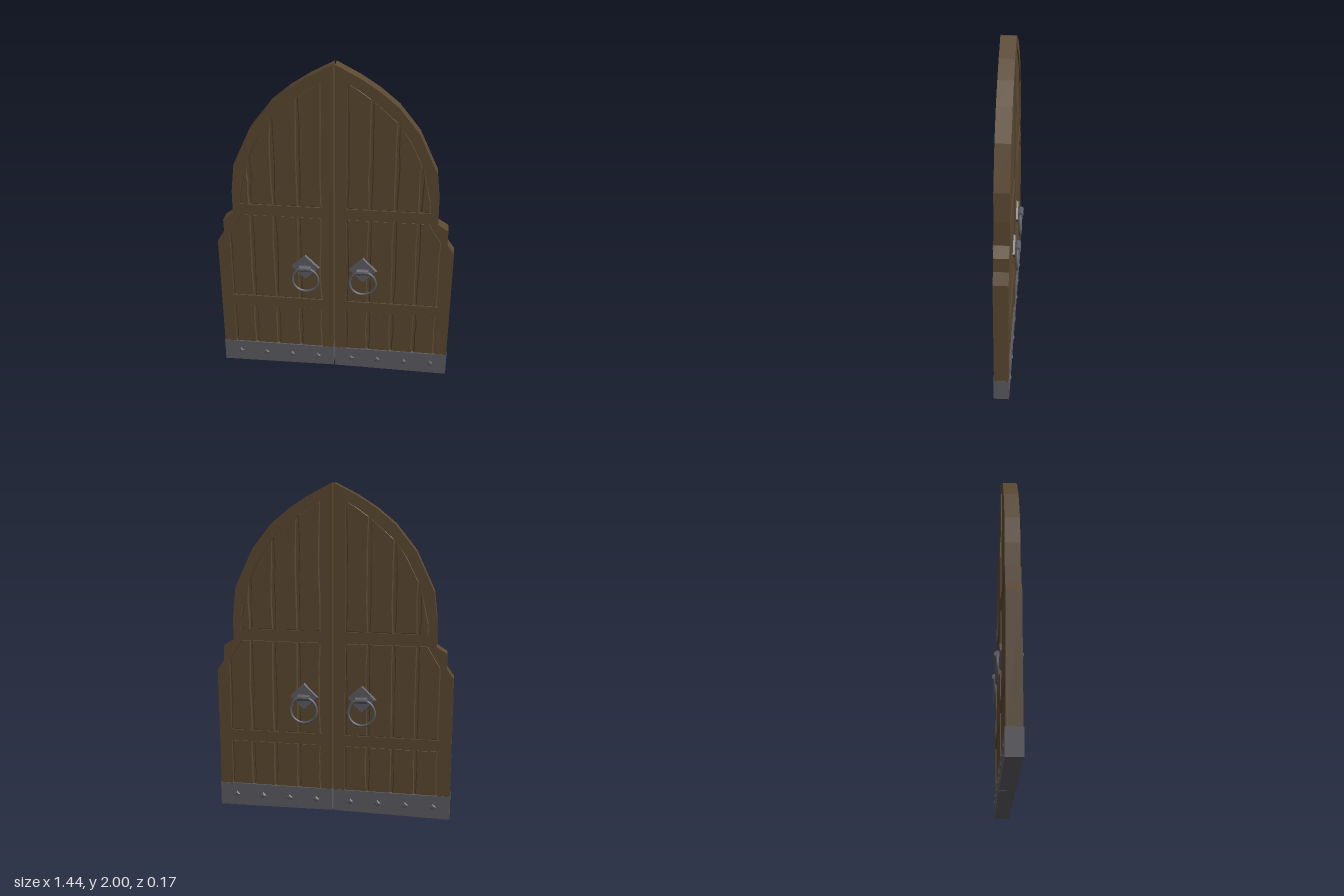
import * as THREE from 'three';

const wood = new THREE.MeshStandardMaterial({ color: 0x5a4830, flatShading: true });
const iron = new THREE.MeshStandardMaterial({ color: 0x5c5c62, flatShading: true });
const ironSmooth = new THREE.MeshStandardMaterial({ color: 0x5c5c62 });

// half outlines for the leaf on +x; the other leaf mirrors them
const leafOutline = [[0.005, 0.1], [0.715, 0.1], [0.715, 0.88], [0.672, 0.94], [0.672, 1.03], [0.61, 1.07],
  [0.608, 1.22], [0.588, 1.39], [0.48, 1.62], [0.36, 1.77], [0.25, 1.86], [0.14, 1.93], [0.005, 2]];
const panels = [
  { bottom: 0.14, top: [[0.072, 0.43], [0.64, 0.43]] },
  { bottom: 0.5, top: [[0.072, 1.07], [0.56, 1.07], [0.6, 1.0], [0.64, 0.94]] },
  { bottom: 1.14, top: [[0.072, 1.9], [0.14, 1.86], [0.21, 1.81], [0.36, 1.68], [0.43, 1.58], [0.5, 1.44], [0.55, 1.29], [0.565, 1.14]] },
];
const seams = [0.072, 0.212, 0.36, 0.502, 0.64];

let seed = 7;
const rand = () => (seed = (seed * 16807) % 2147483647) / 2147483647;

function add(parent, name, geometry, material, x = 0, y = 0, z = 0) {
  const mesh = new THREE.Mesh(geometry, material);
  mesh.name = name;
  mesh.position.set(x, y, z);
  parent.add(mesh);
  return mesh;
}

const toPoints = (pts, side) => pts.map(([x, y]) => new THREE.Vector2(x * side, y));

// height of a panel's upper edge at x
function topAt(top, x) {
  for (let i = 1; i < top.length; i++) {
    const [x0, y0] = top[i - 1], [x1, y1] = top[i];
    if (x <= x1) return y0 + (y1 - y0) * Math.max(0, (x - x0) / (x1 - x0));
  }
  return top[top.length - 1][1];
}

function panelOutline({ bottom, top }) {
  const last = top[top.length - 1];
  const pts = [[top[0][0], bottom], ...top];
  if (last[1] > bottom + 0.001) pts.push([last[0], bottom]);
  return pts;
}

// frame with open panels, closed by a thin core board
function addLeaf(parent, side) {
  const shape = new THREE.Shape(toPoints(leafOutline, side));
  for (const p of panels) shape.holes.push(new THREE.Path(toPoints(panelOutline(p), side)));
  add(parent, 'frame', new THREE.ExtrudeGeometry(shape, { depth: 0.086, bevelEnabled: false }), wood, 0, 0, -0.043);
  for (const p of panels) {
    const board = new THREE.Shape(toPoints(panelOutline(p), side));
    add(parent, 'panelCore', new THREE.ExtrudeGeometry(board, { depth: 0.05, bevelEnabled: false }), wood, 0, 0, -0.025);
  }
  // iron kick band, its underside sloping slightly up to the middle
  const band = new THREE.Shape(toPoints([[0.004, 0.01], [0.718, 0], [0.718, 0.146], [0.004, 0.146]], side));
  add(parent, 'kickBand', new THREE.ExtrudeGeometry(band, { depth: 0.092, bevelEnabled: false }), iron, 0, 0, -0.046);
}

// worn planks with bevelled, uneven edges
function addPlanks(parent, side) {
  for (const { bottom, top } of panels) {
    const right = top[top.length - 1][0];
    for (let i = 0; i < 4; i++) {
      const a = seams[i] + 0.006, b = Math.min(seams[i + 1], right) - 0.006;
      const pts = [[a, bottom], [b, bottom]];
      const endB = topAt(top, b), endA = topAt(top, a);
      for (const t of [0.3, 0.45, 0.75]) {
        const y = bottom + (endB - bottom) * t;
        if (endB - bottom > 0.1) pts.push([b - rand() * 0.008, y]);
      }
      pts.push([b, endB]);
      for (const [x, y] of [...top].reverse()) if (x > a + 0.01 && x < b - 0.01) pts.push([x, y]);
      pts.push([a, endA]);
      for (const t of [0.7, 0.5, 0.25]) pts.push([a + rand() * 0.008, bottom + (endA - bottom) * t]);
      const geo = new THREE.ExtrudeGeometry(new THREE.Shape(toPoints(pts, side)), {
        depth: 0.004, bevelThickness: 0.007, bevelSize: 0.006, bevelOffset: -0.004, bevelSegments: 1 });
      add(parent, 'plank', geo, wood, 0, 0, 0.0265);
    }
  }
}

function addRivets(parent, side) {
  for (let i = 0; i < 4; i++) {
    const geo = new THREE.CylinderGeometry(0.011, 0.023, 0.008, 4).rotateX(Math.PI / 2);
    add(parent, 'rivet', geo, iron, side * (0.107 + i * 0.169), 0.075, 0.049);
  }
}

// diamond plate, hinge barrel and hanging ring
function addHandle(parent, side) {
  const handle = new THREE.Group();
  handle.name = 'ringHandle';
  handle.position.set(side * 0.176, 0.732, 0);
  const plate = new THREE.CylinderGeometry(0.08, 0.088, 0.012, 4).rotateX(Math.PI / 2);
  add(handle, 'plate', plate, iron, 0, 0, 0.046);
  add(handle, 'barrelMount', new THREE.BoxGeometry(0.05, 0.03, 0.025), iron, 0, 0, 0.053);
  add(handle, 'barrel', new THREE.CylinderGeometry(0.019, 0.019, 0.072, 10).rotateZ(Math.PI / 2), iron, 0, 0, 0.066);
  add(handle, 'ring', new THREE.TorusGeometry(0.08, 0.0085, 8, 28), ironSmooth, 0, -0.077, 0.066);
  parent.add(handle);
}

export function createModel() {
  const model = new THREE.Group();
  model.name = 'archedDoubleDoor';
  for (const side of [1, -1]) {
    const leaf = new THREE.Group();
    leaf.name = side > 0 ? 'leftLeaf' : 'rightLeaf';
    addLeaf(leaf, side);
    // the same dressing on the front and back faces
    for (const turn of [0, Math.PI]) {
      const face = new THREE.Group();
      face.name = turn ? 'backFace' : 'frontFace';
      face.rotation.y = turn;
      const s = turn ? -side : side;
      addPlanks(face, s);
      addRivets(face, s);
      addHandle(face, s);
      leaf.add(face);
    }
    model.add(leaf);
  }
  return model;
}
